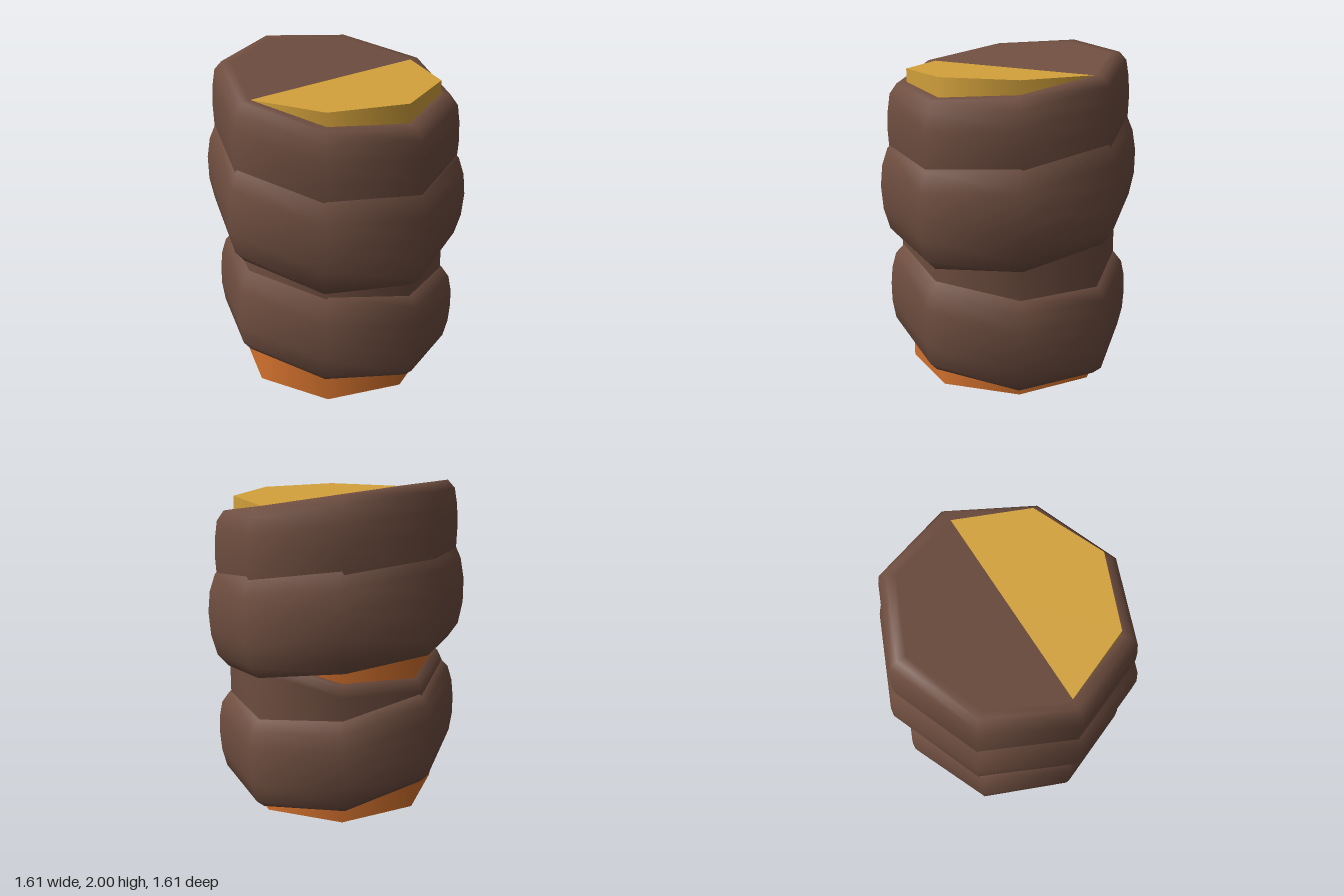
import * as THREE from 'three';
import { mergeVertices } from 'three/addons/utils/BufferGeometryUtils.js';

const brown = new THREE.MeshStandardMaterial({ color: 0x6f4e40 });
const orange = new THREE.MeshStandardMaterial({ color: 0xd4722e });
const gold = new THREE.MeshStandardMaterial({ color: 0xd4a23c });
brown.name = 'brown';
orange.name = 'orange';
gold.name = 'gold';

// Smooth eight-sided closed drum, tilted by slopes along x and z
function wrap(name, profile, slopeX, slopeZ, lean = 0) {
  const first = profile[0], last = profile[profile.length - 1];
  const points = [
    [0, first[1]], [first[0] * 0.92, first[1]],
    ...profile,
    [last[0] * 0.92, last[1]], [0, last[1]],
  ].map(([r, y]) => new THREE.Vector2(r, y));
  let geo = new THREE.LatheGeometry(points, 8);
  geo.deleteAttribute('uv');
  geo.deleteAttribute('normal');
  const pos = geo.attributes.position;
  const mid = (first[1] + last[1]) / 2;
  for (let i = 0; i < pos.count; i++) {
    const x = pos.getX(i), y = pos.getY(i), z = pos.getZ(i);
    pos.setXYZ(i, x - slopeX * lean * (y - mid), y + slopeX * x + slopeZ * z, z - slopeZ * lean * (y - mid));
  }
  geo = mergeVertices(geo, 1e-4);
  geo.computeVertexNormals();
  const mesh = new THREE.Mesh(geo, brown);
  mesh.name = name;
  return mesh;
}

// Octagonal core section between two heights
function core(name, y0, y1, material) {
  const geo = new THREE.CylinderGeometry(0.625, 0.625, y1 - y0, 8);
  const mesh = new THREE.Mesh(geo, material);
  mesh.position.y = (y0 + y1) / 2;
  mesh.name = name;
  return mesh;
}

export function createModel() {
  const group = new THREE.Group();
  group.name = 'wrappedPost';

  // Post running through the wraps
  group.add(core('coreBody', 0, 1.45, orange));
  group.add(core('coreTop', 1.45, 1.875, gold));

  // Wraps, bottom to top
  group.add(wrap('lowerWrap', [
    [0.68, 0.15], [0.735, 0.21], [0.758, 0.33], [0.762, 0.45],
    [0.755, 0.56], [0.73, 0.66], [0.68, 0.72],
  ], -0.055, 0.157, 0.3));

  group.add(wrap('innerCollar', [
    [0.65, 0.45], [0.68, 0.5], [0.68, 0.91], [0.65, 0.97],
  ], 0.2, 0));

  group.add(wrap('middleWrap', [
    [0.7, 0.885], [0.765, 0.965], [0.797, 1.1], [0.803, 1.25],
    [0.785, 1.38], [0.745, 1.485], [0.69, 1.53],
  ], -0.175, 0, 0.3));

  group.add(wrap('upperWrap', [
    [0.69, 1.3], [0.74, 1.38], [0.75, 1.6], [0.743, 1.72],
    [0.727, 1.82], [0.683, 1.875],
  ], -0.184, 0, 0.1));

  return group;
}
